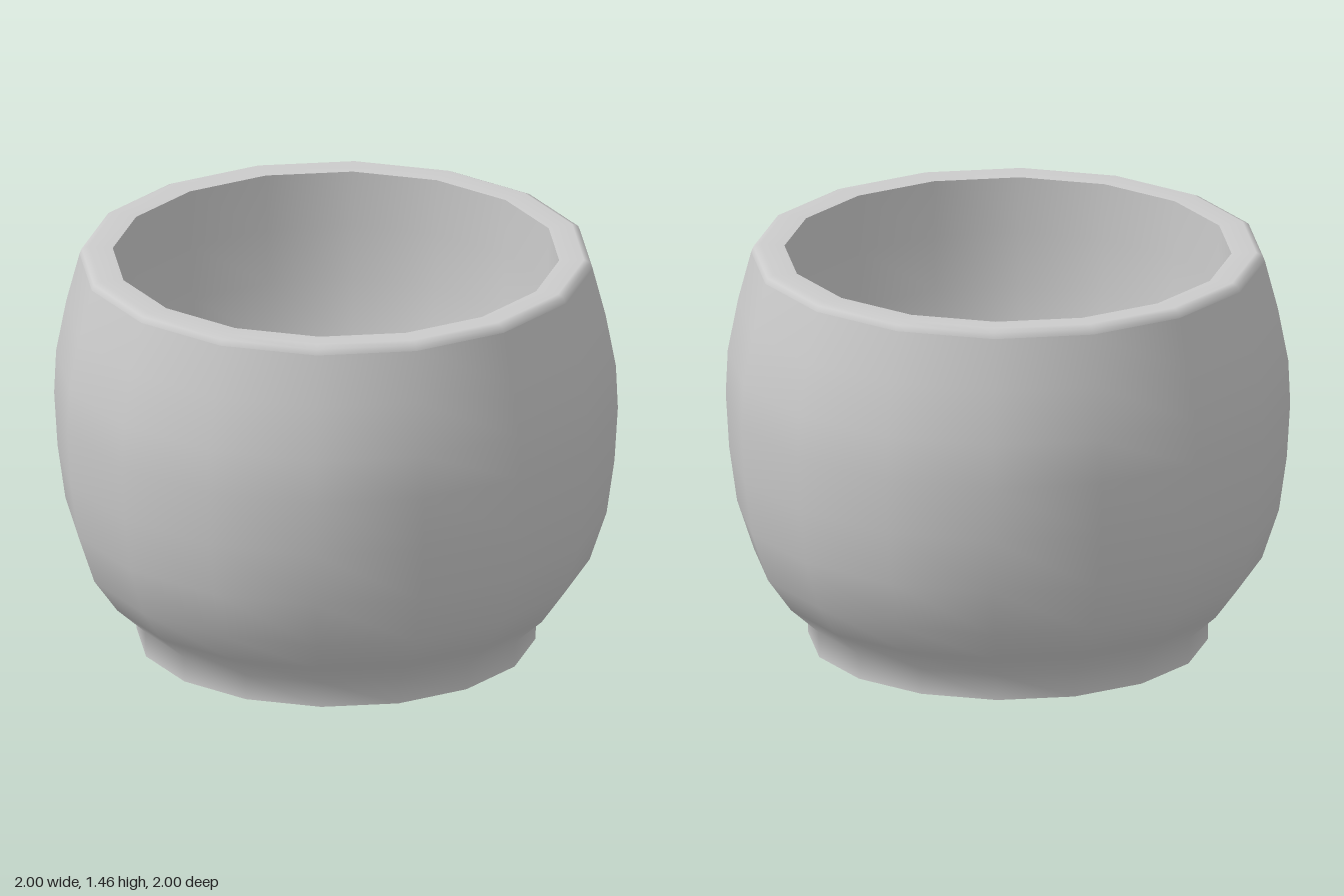
import * as THREE from 'three';

const SIDES = 16;

export function createModel() {
  const group = new THREE.Group();
  const material = new THREE.MeshStandardMaterial({ color: 0xcccccc });

  const addLathe = (name, profile) => {
    const points = profile.map(([r, y]) => new THREE.Vector2(r, y));
    const geometry = new THREE.LatheGeometry(points, SIDES);
    geometry.normalizeNormals();
    const mesh = new THREE.Mesh(geometry, material);
    mesh.name = name;
    group.add(mesh);
  };

  // Flat underside
  addLathe('base', [[0, 0], [0.65, 0], [0.708, 0.012]]);

  // Foot ring and bulging outer wall
  addLathe('outerWall', [
    [0.708, 0.012], [0.71, 0.105], [0.815, 0.2], [0.9, 0.32],
    [0.96, 0.5], [0.988, 0.7], [1, 0.9], [0.993, 1.06], [0.957, 1.25], [0.91, 1.43],
  ]);

  // Flat lip with a softened outer edge
  addLathe('rim', [[0.91, 1.43], [0.902, 1.45], [0.88, 1.46], [0.792, 1.455]]);

  // Hollow inside: upright near the lip, rounding into a deep bowl
  addLathe('innerWall', [
    [0.792, 1.455], [0.79, 1.25], [0.78, 1.05], [0.75, 0.85], [0.69, 0.65],
    [0.6, 0.49], [0.47, 0.35], [0.32, 0.26], [0.16, 0.21], [0, 0.19],
  ]);

  return group;
}
